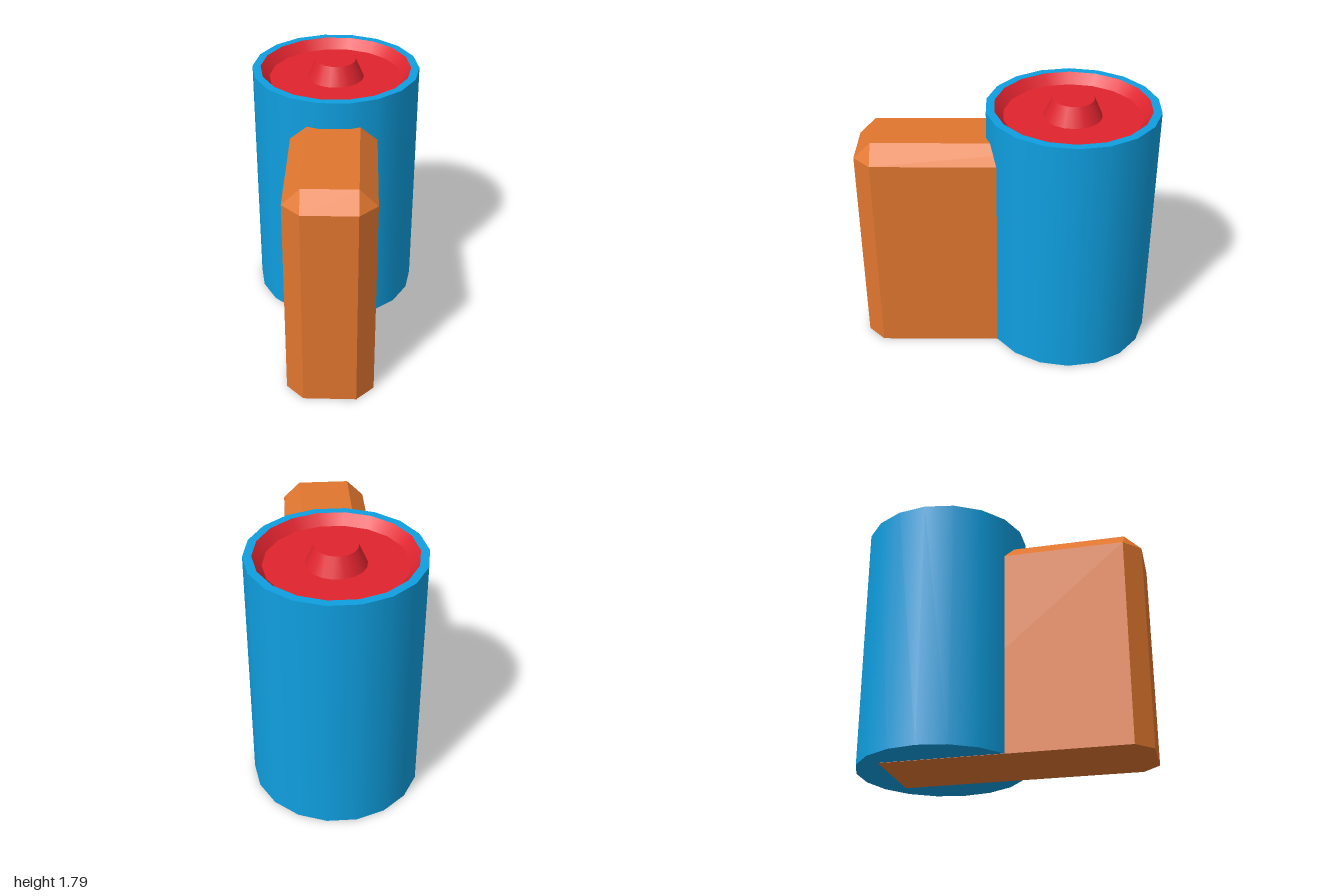
import * as THREE from 'three';
import { ConvexGeometry } from 'three/addons/geometries/ConvexGeometry.js';

const SIDES = 18;
const AXIS_Z = -0.433; // centre line of the round body

export function createModel() {
  const blue = new THREE.MeshStandardMaterial({ name: 'blue', color: 0x0f9fe0 });
  const red = new THREE.MeshStandardMaterial({ name: 'red', color: 0xe0242f });
  const orange = new THREE.MeshStandardMaterial({ name: 'orange', color: 0xe0762f });

  const model = new THREE.Group();
  model.name = 'canister';

  // Turned part: every profile segment is its own band, smooth around and sharp between bands
  function turned(name, material, profile) {
    const group = new THREE.Group();
    group.name = name;
    for (let i = 0; i < profile.length - 1; i++) {
      const points = [profile[i], profile[i + 1]].map(([r, y]) => new THREE.Vector2(r, y));
      const band = new THREE.Mesh(new THREE.LatheGeometry(points, SIDES, Math.PI / SIDES), material);
      band.name = `${name}Band${i + 1}`;
      group.add(band);
    }
    group.position.z = AXIS_Z;
    model.add(group);
  }

  // Body: base (just above the block's base), outer wall and rim
  turned('body', blue, [[0, 0.002], [0.576, 0.002], [0.576, 1.735], [0.52, 1.735]]);
  // Recessed lid: sloping wall and floor
  turned('lid', red, [[0.52, 1.735], [0.46, 1.667], [0.195, 1.667]]);
  // Tapered knob in the middle of the lid
  turned('knob', red, [[0.195, 1.667], [0.138, 1.794], [0, 1.794]]);

  // Front block: chamfered on its front and top edges, running back into the body
  const back = -0.78;
  const corners = [];
  for (const s of [-1, 1]) {
    for (const y of [0, 1.437]) {
      corners.push(
        new THREE.Vector3(s * 0.29, y, back),
        new THREE.Vector3(s * 0.29, y, 0.885),
        new THREE.Vector3(s * 0.175, y, 1)
      );
    }
    corners.push(new THREE.Vector3(s * 0.175, 1.55, back), new THREE.Vector3(s * 0.175, 1.55, 0.885));
  }
  const block = new THREE.Mesh(new ConvexGeometry(corners), orange);
  block.name = 'frontBlock';
  model.add(block);

  return model;
}
